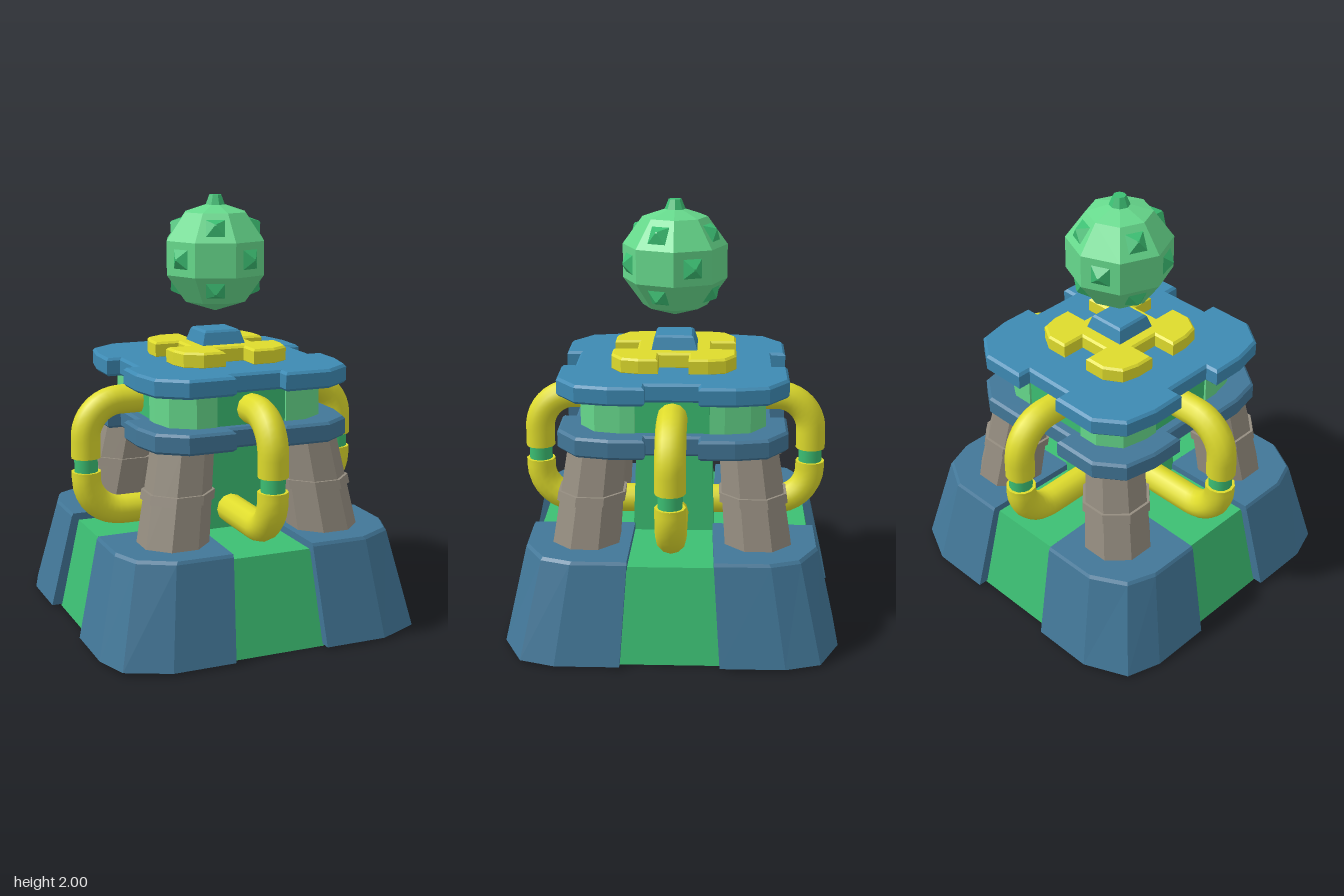
import * as THREE from 'three';
import { toCreasedNormals } from 'three/addons/utils/BufferGeometryUtils.js';

const mat = (name, color, open) => {
  const m = new THREE.MeshStandardMaterial({ color });
  m.name = name;
  if (open) m.side = THREE.DoubleSide;
  return m;
};

// Faceted normals for low-poly parts
const facet = (g) => {
  const f = g.index ? g.toNonIndexed() : g;
  f.computeVertexNormals();
  return f;
};

// Mirror a quarter outline [x, z] into a full closed outline
function fullOutline(q) {
  const r = [...q].reverse();
  return [
    ...q,
    ...r.map(([x, z]) => [-x, z]),
    ...q.map(([x, z]) => [-x, -z]),
    ...r.map(([x, z]) => [x, -z]),
  ].map(([x, z]) => new THREE.Vector2(x, z));
}

// Horizontal slab with chamfered corners and a notch in the middle of each side
function slab(hx, hz, cx, cz, notch, depth, y0, y1, bevel) {
  const q = [
    [hx - depth, notch], [hx, notch], [hx, hz - cz],
    [hx - cx * 0.2, hz - cz * 0.38], [hx - cx, hz],
    [notch, hz], [notch, hz - depth],
  ];
  const g = new THREE.ExtrudeGeometry(new THREE.Shape(fullOutline(q)), {
    depth: y1 - y0 - 2 * bevel, bevelEnabled: bevel > 0, bevelSegments: 1,
    bevelThickness: bevel, bevelSize: bevel, bevelOffset: -bevel,
  });
  g.rotateX(-Math.PI / 2).translate(0, y0 + bevel, 0);
  return g;
}

// Open wall between two paths of [x, z] points at heights y0 and y1
function wall(a, y0, b, y1) {
  const p = [];
  for (let i = 0; i < a.length - 1; i++) {
    const A = [a[i][0], y0, a[i][1]], B = [a[i + 1][0], y0, a[i + 1][1]];
    const C = [b[i + 1][0], y1, b[i + 1][1]], D = [b[i][0], y1, b[i][1]];
    p.push(...A, ...B, ...C, ...A, ...C, ...D);
  }
  const g = new THREE.BufferGeometry();
  g.setAttribute('position', new THREE.Float32BufferAttribute(p, 3));
  g.computeVertexNormals();
  return g;
}

// Leaning eight-sided leg section for the corner (sx, sz)
function legSection(y0, y1, extra, sx, sz) {
  const t = (y) => (y - 0.46) / 0.45;
  const rad = (y) => 0.166 - 0.022 * t(y) + extra;
  const g = new THREE.CylinderGeometry(rad(y1), rad(y0), y1 - y0, 8);
  g.rotateY(Math.PI / 8).translate(0, (y0 + y1) / 2, 0);
  const p = g.attributes.position;
  for (let i = 0; i < p.count; i++) {
    const k = t(p.getY(i));
    p.setX(i, p.getX(i) + sx * (0.378 - 0.07 * k));
    p.setZ(i, p.getZ(i) + sz * (0.398 - 0.05 * k));
  }
  return facet(g);
}

// Pipe bend: horizontal run from x0 at height y, rounded, then vertical to yEnd
function bend(x0, y, yEnd) {
  const X = 0.655, r = 0.17, s = Math.sign(yEnd - y), k = 0.45 * r;
  const v = (x, h) => new THREE.Vector3(x, h, 0);
  const path = new THREE.CurvePath();
  path.add(new THREE.LineCurve3(v(x0, y), v(X - r, y)));
  path.add(new THREE.CubicBezierCurve3(v(X - r, y), v(X - k, y), v(X, y + s * k), v(X, y + s * r)));
  path.add(new THREE.LineCurve3(v(X, y + s * r), v(X, yEnd)));
  return new THREE.TubeGeometry(path, 18, 0.07, 12);
}

export function createModel() {
  const model = new THREE.Group();
  const steel = mat('steel blue', 0x427798, true);
  const blue = mat('bright blue', 0x3d8ab3);
  const green = mat('green', 0x3cbf73, true);
  const mint = mat('light green', 0x66d98c);
  const yellow = mat('yellow', 0xdedb2c, true);
  const grey = mat('warm grey', 0x958d80);
  const add = (name, g, m, parent = model) => {
    const mesh = new THREE.Mesh(g, m);
    mesh.name = name;
    parent.add(mesh);
    return mesh;
  };

  // Corner feet (open underneath) and leaning legs
  const low = [[0.225, 0.69], [0.225, 0.773], [0.52, 0.773], [0.72, 0.68], [0.773, 0.52], [0.773, 0.225], [0.69, 0.225]];
  const high = [[0.195, 0.6], [0.195, 0.672], [0.465, 0.672], [0.622, 0.585], [0.672, 0.45], [0.672, 0.195], [0.6, 0.195]];
  const rim = high.map(([x, z]) => [x - (x > 0.2 ? 0.009 : 0), z - (z > 0.2 ? 0.009 : 0)]);
  const inner = [[0.665, 0.195], [0.185, 0.185], [0.195, 0.665]];
  for (const sx of [1, -1]) for (const sz of [1, -1]) {
    const foot = new THREE.Group();
    foot.name = 'cornerFoot';
    model.add(foot);
    const m = (pts) => {
      const q = pts.map(([x, z]) => [x * sx, z * sz]);
      return sx * sz > 0 ? q : q.reverse();
    };
    add('footWall', wall(m(low), 0.01, m(high), 0.46), steel, foot);
    add('footRim', wall(m(high), 0.46, m(rim), 0.474), steel, foot);
    add('footInnerEdge', wall(m(inner), 0.43, m(inner), 0.474), steel, foot);
    const cap = new THREE.Shape([...rim.slice(1, 6), [0.185, 0.185]].map(([x, z]) => new THREE.Vector2(x * sx, -z * sz)));
    add('footTop', new THREE.ShapeGeometry(cap).rotateX(-Math.PI / 2).translate(0, 0.474, 0), steel, foot);
    add('leg', legSection(0.46, 0.91, 0, sx, sz), grey);
    add('legBand', legSection(0.67, 0.712, 0.013, sx, sz), grey);
  }

  // Green skirt panels, ledges and pipes on each of the four sides
  for (let i = 0; i < 4; i++) {
    const side = new THREE.Group();
    side.name = 'side';
    side.rotation.y = i * Math.PI / 2;
    model.add(side);
    const edge = (x, w) => [[x, w], [x, -w]];
    add('skirtPanel', wall(edge(0.725, 0.232), 0, edge(0.637, 0.202), 0.44), green, side);
    add('ledge', wall(edge(0.637, 0.2), 0.44, edge(0.185, 0.19), 0.44), green, side);
    add('upperPipe', bend(0.35, 1.065, 0.802), yellow, side);
    add('lowerPipe', bend(0.165, 0.532, 0.736), yellow, side);
    add('pipeCollar', new THREE.CylinderGeometry(0.056, 0.056, 0.09, 12, 1, true).translate(0.655, 0.769, 0), green, side);
    for (const y of [0.731, 0.807]) {
      add('pipeEnd', toCreasedNormals(new THREE.CylinderGeometry(0.07, 0.07, 0.01, 12).translate(0.655, y, 0), 0.7), yellow, side);
    }
  }

  // Central column, open below
  const column = new THREE.CylinderGeometry(0.175 * Math.SQRT2, 0.192 * Math.SQRT2, 0.47, 4, 1, true);
  add('column', facet(column.rotateY(Math.PI / 4).translate(0, 0.675, 0)), green);

  // Stacked deck
  add('lowerDeck', slab(0.505, 0.53, 0.16, 0.245, 0.12, 0.065, 0.898, 0.992, 0.012), steel);
  add('neck', slab(0.4, 0.428, 0.13, 0.19, 0.17, 0.05, 0.985, 1.16, 0), mint);
  add('neckInsetX', new THREE.BoxGeometry(0.78, 0.17, 0.339).translate(0, 1.07, 0), green);
  add('neckInsetZ', new THREE.BoxGeometry(0.339, 0.17, 0.835).translate(0, 1.07, 0), green);
  add('upperDeck', slab(0.505, 0.53, 0.16, 0.245, 0.12, 0.065, 1.15, 1.238, 0.012), blue);
  add('yellowPad', slab(0.277, 0.29, 0.1, 0.13, 0.07, 0.115, 1.23, 1.308, 0.01), yellow);
  const s = Math.SQRT2;
  add('pedestal', facet(new THREE.CylinderGeometry(0.09 * s, 0.108 * s, 0.06, 4).rotateY(Math.PI / 4).translate(0, 1.334, 0)), blue);
  add('pedestalTop', facet(new THREE.CylinderGeometry(0.08 * s, 0.09 * s, 0.01, 4).rotateY(Math.PI / 4).translate(0, 1.369, 0)), blue);

  // Floating faceted orb with studs on alternating faces
  const orb = new THREE.Group();
  orb.name = 'orb';
  orb.position.y = 1.713;
  model.add(orb);
  add('orbBody', facet(new THREE.SphereGeometry(0.257, 8, 5)), mint, orb);
  add('topStud', facet(new THREE.CylinderGeometry(0.03, 0.05, 0.05, 8).translate(0, 0.262, 0)), green, orb);
  const up = new THREE.Vector3(0, 1, 0);
  const stud = facet(new THREE.CylinderGeometry(0.006, 0.07, 0.036, 4).rotateY(Math.PI / 4).translate(0, 0.014, 0));
  for (let i = 0; i < 8; i++) {
    const a = Math.PI / 8 + i * Math.PI / 4;
    const rows = i % 2 ? [[0.182, 0.143, 0.595], [0.182, -0.143, -0.595]] : [[0.226, 0, 0]];
    for (const [r, y, tilt] of rows) {
      const mesh = add('stud', stud, green, orb);
      // Odd faces carry upper and lower studs, even faces one on the equator
      mesh.position.set(r * Math.cos(a), y, r * -Math.sin(a));
      mesh.rotation.set(0, a, tilt - Math.PI / 2, 'YXZ');
    }
  }
  return model;
}
